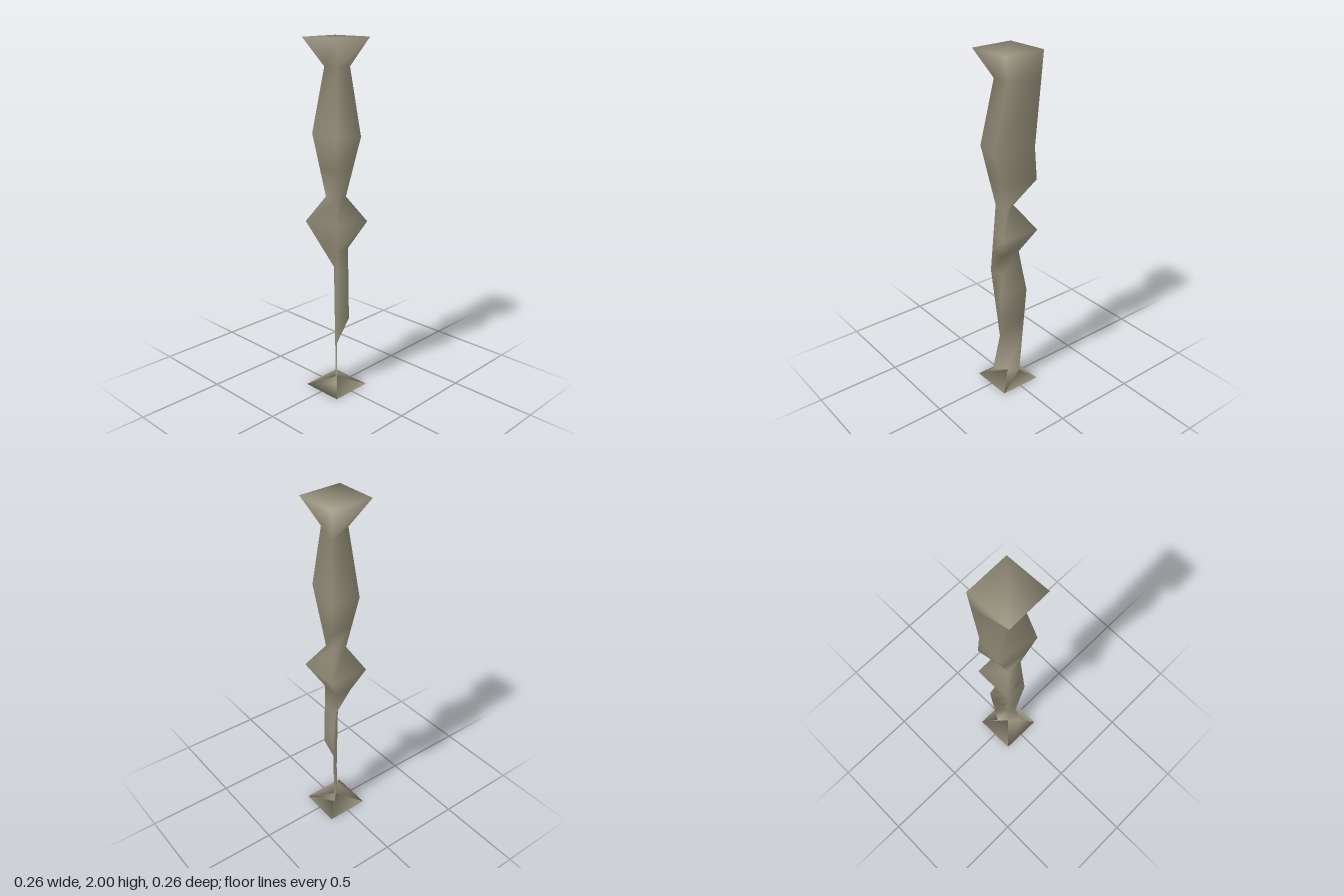
import * as THREE from 'three';

// Four corner edges of the column, each a polyline of [x, y, z] from top to foot
const frontLeft = [
  [0.128, 2, 0.118], [0.055, 1.85, 0.045], [0.052, 1.49, 0.13], [0.038, 1.15, 0.035],
  [0.115, 1.01, 0.125], [0.028, 0.86, 0.062], [0.025, 0.44, 0.075],
  [-0.028, 0.29, 0.033], [0.003, 0.05, 0.003], [0.123, 0, 0.123],
];
const backLeft = [
  [0.123, 2, -0.13], [0.1, 1.49, -0.102], [0.11, 1.31, -0.11], [0.02, 1.15, -0.02],
  [0.115, 1.01, -0.117], [0.03, 0.86, -0.055], [0.075, 0.62, -0.078],
  [0.05, 0.05, -0.05], [0.125, 0, -0.125],
];
const backRight = [
  [-0.13, 2, -0.122], [-0.045, 1.85, -0.045], [-0.055, 1.49, -0.13], [-0.04, 1.15, -0.042],
  [-0.12, 1.01, -0.12], [-0.01, 0.74, -0.01], [-0.003, 0.05, -0.003], [-0.123, 0, -0.123],
];
const frontRight = [
  [-0.125, 2, 0.127], [-0.05, 1.85, 0.05], [-0.102, 1.49, 0.102], [-0.046, 1.15, 0.048],
  [-0.068, 0.74, 0.068], [-0.033, 0.29, 0.033], [-0.063, 0.05, 0.063], [-0.125, 0, 0.125],
];

// Point on an edge at a given height
function pointAt(edge, y) {
  let i = 0;
  while (i < edge.length - 2 && edge[i + 1][1] > y) i++;
  const [a, b] = [edge[i], edge[i + 1]];
  const t = (a[1] - y) / (a[1] - b[1]);
  return [a[0] + (b[0] - a[0]) * t, y, a[2] + (b[2] - a[2]) * t];
}

// Four-sided skin through all rings, with both ends closed
function columnGeometry() {
  const edges = [frontLeft, backLeft, backRight, frontRight];
  const levels = [2, 1.85, 1.49, 1.31, 1.15, 1.01, 0.86, 0.74, 0.62, 0.44, 0.29, 0.05, 0];
  const positions = [];
  for (const y of levels) for (const edge of edges) positions.push(...pointAt(edge, y));

  const index = [0, 1, 2, 0, 2, 3];
  for (let i = 0; i < levels.length - 1; i++) {
    for (let j = 0; j < 4; j++) {
      const a = i * 4 + j, b = i * 4 + (j + 1) % 4;
      index.push(a + 4, b + 4, b, a + 4, b, a);
    }
  }
  const e = (levels.length - 1) * 4;
  index.push(e, e + 2, e + 1, e, e + 3, e + 2);

  const geometry = new THREE.BufferGeometry();
  geometry.setAttribute('position', new THREE.Float32BufferAttribute(positions, 3));
  geometry.setIndex(index);
  geometry.computeVertexNormals();
  return geometry;
}

export function createModel() {
  const stone = new THREE.MeshStandardMaterial({ color: 0x958f7a, side: THREE.DoubleSide });
  stone.name = 'stone';

  const column = new THREE.Mesh(columnGeometry(), stone);
  column.name = 'column';

  const group = new THREE.Group();
  group.name = 'erodedPillar';
  group.add(column);
  return group;
}
